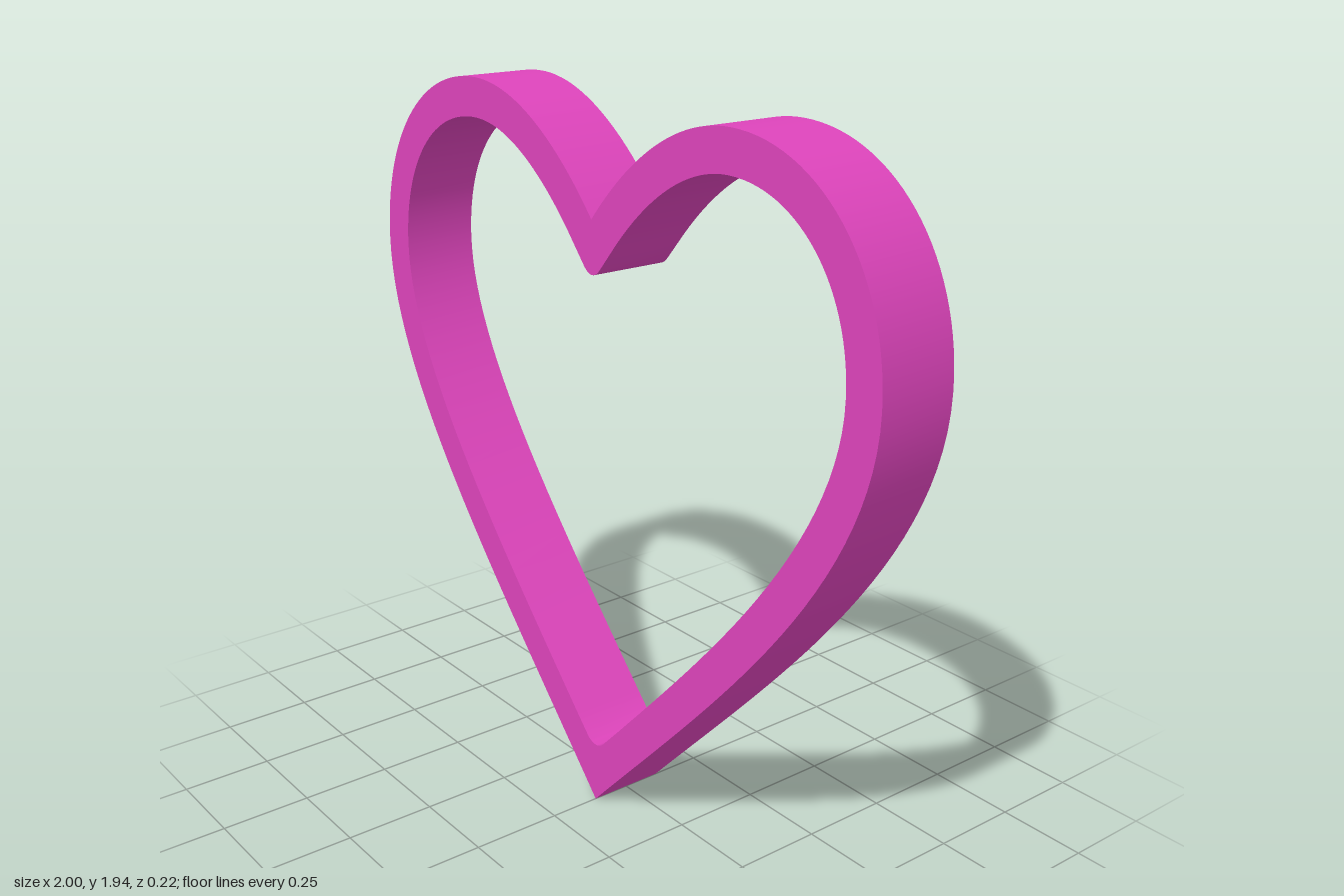
import * as THREE from 'three';
import { toCreasedNormals } from 'three/addons/utils/BufferGeometryUtils.js';

const WALL = 0.105;
const DEPTH = 0.216;
const SEGMENTS = 28;

// Right half of the outer edge, from the bottom tip to the top notch
function outerHalf() {
  const path = new THREE.Path();
  path.moveTo(0, 0);
  path.bezierCurveTo(0.5, 0.53, 1, 1.0, 1, 1.42);
  path.bezierCurveTo(1, 1.72, 0.79, 1.94, 0.51, 1.94);
  path.bezierCurveTo(0.3, 1.94, 0.12, 1.79, 0, 1.65);
  return path.getPoints(SEGMENTS);
}

// Outer half moved inwards by the wall thickness, with softened corners on the axis
function innerHalf(outer) {
  const offset = outer.map((p, i) => {
    const a = outer[Math.max(i - 1, 0)];
    const b = outer[Math.min(i + 1, outer.length - 1)];
    const t = b.clone().sub(a).normalize();
    return new THREE.Vector2(p.x - t.y * WALL, p.y + t.x * WALL);
  }).filter((p) => p.x > 0.035);
  const corner = (y, edgeY) => new THREE.QuadraticBezierCurve(
    new THREE.Vector2(-0.03, edgeY), new THREE.Vector2(0, y), new THREE.Vector2(0.03, edgeY)
  ).getPoints(8).slice(4);
  return [...corner(0.165, 0.185), ...offset, ...corner(1.495, 1.525).reverse()];
}

// Closes a half outline by mirroring it across x = 0
function mirrored(half) {
  const left = half.slice(1, -1).reverse().map((p) => new THREE.Vector2(-p.x, p.y));
  return [...half, ...left];
}

export function createModel() {
  const group = new THREE.Group();
  group.name = 'heartFrame';

  // Heart-shaped band with an open centre
  const half = outerHalf();
  const shape = new THREE.Shape(mirrored(half));
  shape.holes.push(new THREE.Path(mirrored(innerHalf(half))));
  const extruded = new THREE.ExtrudeGeometry(shape, { depth: DEPTH, bevelEnabled: false });
  extruded.translate(0, 0, -DEPTH / 2);

  const band = new THREE.Mesh(
    toCreasedNormals(extruded, 0.6),
    new THREE.MeshStandardMaterial({ color: 0xdd44bb })
  );
  band.name = 'heartBand';
  group.add(band);
  return group;
}
